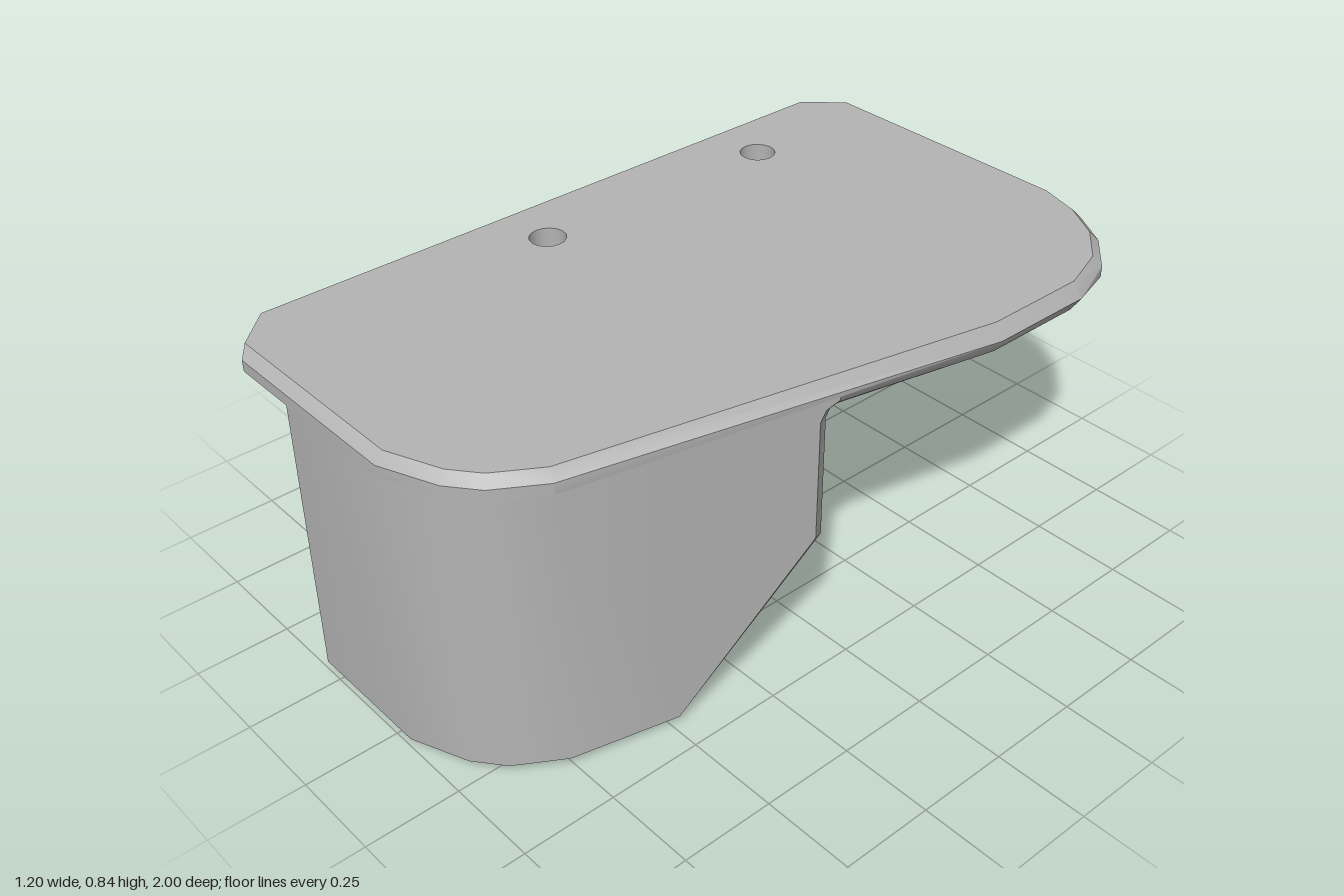
import * as THREE from 'three';
import { toCreasedNormals } from 'three/addons/utils/BufferGeometryUtils.js';

const TOP = 0.84, BOTTOM = 0.76, BEVEL = 0.025, WALL = 0.08, HOLE = 0.048;

// Plate outline as [x, z], from the left front corner round the right side.
const outline = [
  [-0.6, 0.88], [-0.485, 1], [0.06, 1], [0.21, 0.94], [0.285, 0.88], [0.36, 0.76],
  [0.6, -0.37], [0.6, -0.66], [0.55, -0.8], [0.46, -0.9], [0.35, -0.965], [0.23, -1],
  [-0.485, -1], [-0.6, -0.88],
];
const holes = [[-0.445, -0.565], [-0.445, 0.155]];

// Moves the outline inwards; the left edge and its two cut corners stay put.
function inset(dist) {
  const n = outline.length;
  const edge = (i) => {
    const [ax, az] = outline[i], [bx, bz] = outline[(i + 1) % n];
    const l = Math.hypot(bx - ax, bz - az), dx = (bx - ax) / l, dz = (bz - az) / l;
    const d = i === 0 || i >= n - 2 ? 0 : dist;
    return { x: ax + dz * d, z: az - dx * d, dx, dz };
  };
  return outline.map((_, i) => {
    const a = edge((i + n - 1) % n), b = edge(i);
    const t = ((b.x - a.x) * b.dz - (b.z - a.z) * b.dx) / (a.dx * b.dz - a.dz * b.dx);
    return [a.x + a.dx * t, a.z + a.dz * t];
  });
}

// Skins a row of cross-sections, each a list of [x, y, z].
function loft(rings, closedRing, capStart) {
  const pos = [];
  const m = rings[0].length;
  for (let i = 0; i < rings.length - 1; i++) {
    for (let j = 0; j < (closedRing ? m : m - 1); j++) {
      const k = (j + 1) % m;
      const a = rings[i][j], b = rings[i + 1][j], c = rings[i + 1][k], d = rings[i][k];
      pos.push(...a, ...d, ...c, ...a, ...c, ...b);
    }
  }
  if (capStart) {
    const r = rings[0];
    for (let j = 1; j < m - 1; j++) pos.push(...r[0], ...r[j + 1], ...r[j]);
  }
  const g = new THREE.BufferGeometry();
  g.setAttribute('position', new THREE.Float32BufferAttribute(pos, 3));
  return toCreasedNormals(g, 0.6);
}

// Flat plate face with the two holes; dir is 1 for the top, -1 for the underside.
function plateFace(points, y, dir) {
  const shape = new THREE.Shape(points.map(([x, z]) => new THREE.Vector2(x, -dir * z)));
  for (const [x, z] of holes) {
    shape.holes.push(new THREE.Path().absarc(x, -dir * z, HOLE, 0, Math.PI * 2, true));
  }
  return new THREE.ShapeGeometry(shape, 8).rotateX(-dir * Math.PI / 2).translate(0, y, 0);
}

export function createModel() {
  const model = new THREE.Group();
  model.name = 'bracket';
  const grey = new THREE.MeshStandardMaterial({ color: 0xb4b4b4, side: THREE.DoubleSide });
  grey.name = 'grey';
  const add = (parent, name, geometry) => {
    const mesh = new THREE.Mesh(geometry, grey);
    mesh.name = name;
    parent.add(mesh);
  };

  // Mounting plate: bevelled rim that sharpens towards the right side
  const plate = new THREE.Group();
  plate.name = 'plate';
  model.add(plate);
  const rim = inset(BEVEL);
  const rings = outline.map(([x, z], i) => {
    const h = x >= 0.6 ? 0.04 : BEVEL;
    const [ix, iz] = rim[i];
    return [[ix, TOP, iz], [x, TOP - h, z], [x, BOTTOM + h, z], [ix, BOTTOM, iz]];
  });
  add(plate, 'plateRim', loft([...rings, rings[0]], false, false));
  add(plate, 'plateTop', plateFace(rim, TOP, 1));
  add(plate, 'plateUnderside', plateFace(rim, BOTTOM, -1));
  for (const [x, z] of holes) {
    const tube = new THREE.CylinderGeometry(HOLE, HOLE, TOP - BOTTOM, 16, 1, true);
    add(plate, 'screwHole', tube.translate(x, (TOP + BOTTOM) / 2, z));
  }

  // Curved wall: outer top, outer edge, bevel foot, inner foot, inner top
  const top = 0.8;
  const inner = inset(WALL);
  const section = (o, b, i, yo, yb) => [
    [o[0], top, o[1]], [o[0], yo, o[1]], [b[0], yb, b[1]], [i[0], yb, i[1]], [i[0], top, i[1]],
  ];
  const flat = (x, yo, yb) => section([x, 1], [x, 1 - BEVEL], [x, 1 - WALL], yo, yb);
  const wall = [flat(-0.3, BEVEL, BEVEL), flat(-0.27, BEVEL, 0)];
  for (let i = 2; i <= 5; i++) wall.push(section(outline[i], rim[i], inner[i], BEVEL, 0));

  // Straight flank: sloped cut, upright edge and small fillet under the plate
  const sideX = (z, depth) => 0.36 + (0.76 - z) * 0.24 / 1.13 - depth * 1.022;
  const cut = [
    [0.48, 0.02, 0.48, 0], [0.12, 0.415, 0.085, 0.4], [0.12, 0.74, 0.085, 0.73],
    [0.105, 0.77, 0.075, 0.752], [0.07, 0.785, 0.045, 0.765],
  ];
  for (const [zo, yo, zb, yb] of cut) {
    wall.push(section([sideX(zo, 0), zo], [sideX(zb, BEVEL), zb], [sideX(zb, WALL), zb], yo, yb));
  }
  add(model, 'wall', loft(wall, true, true));

  return model;
}
